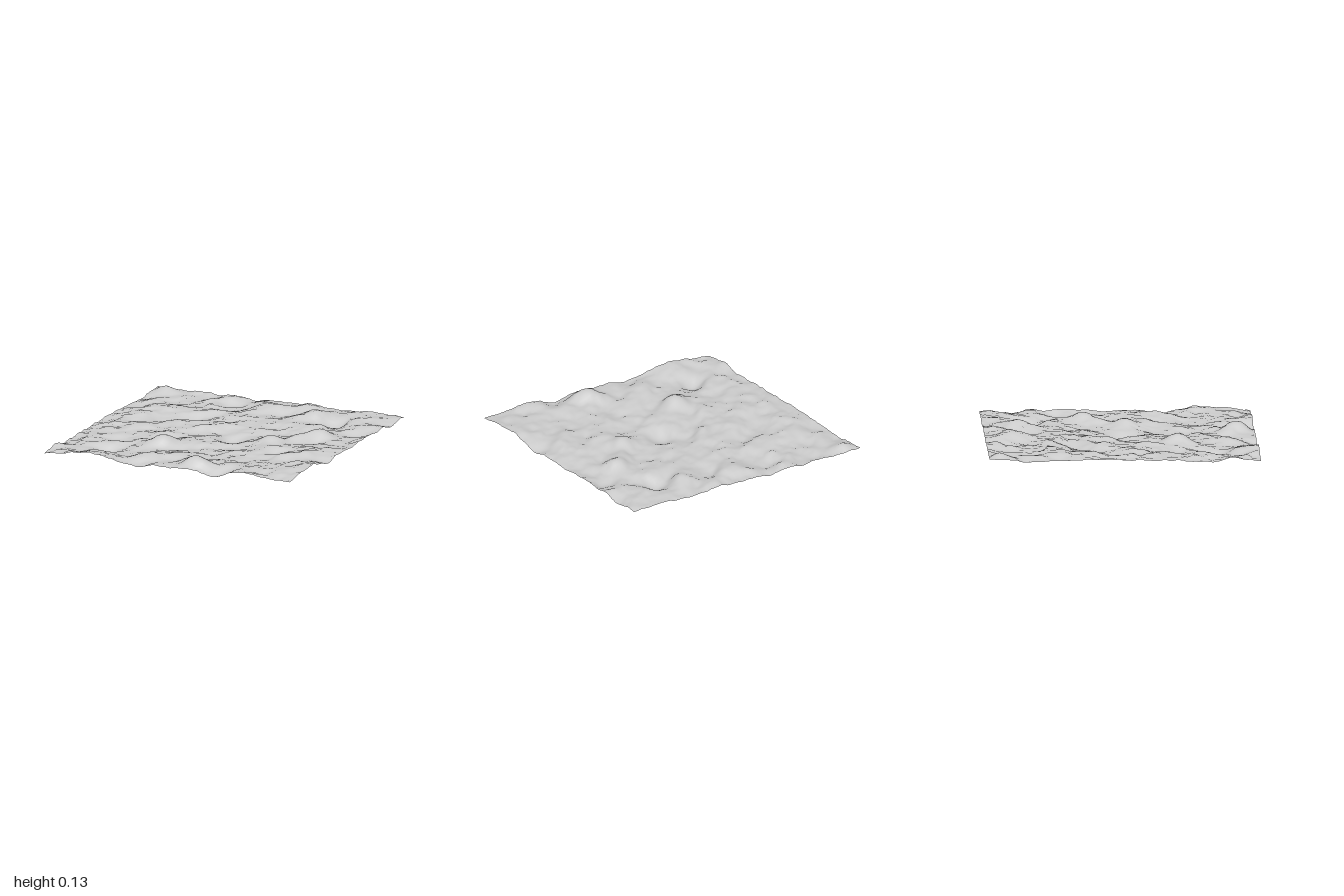
import * as THREE from 'three';

const SEGMENTS = 80;

// Broad hills and hollows: x, z, height, radius
const landmarks = [
  [0.17, 0.87, 0.075, 0.09], [-0.3, 0.4, 0.055, 0.09], [-0.63, 1, 0.03, 0.1],
  [0.65, 1, 0.025, 0.1], [0.4, 1, -0.025, 0.09], [-0.3, 1, -0.02, 0.12],
  [1, 0.6, 0.022, 0.1], [1, 0.37, -0.028, 0.1], [1, -0.6, 0.018, 0.12],
  [-0.63, 0.67, -0.06, 0.09], [0.6, -0.65, -0.06, 0.09], [0.08, 0.02, -0.055, 0.09],
  [0.4, 0.05, 0.045, 0.09], [0.66, -0.25, 0.045, 0.09], [-0.9, -0.92, 0.035, 0.09],
  [0.4, -0.75, 0.04, 0.09], [-0.05, -0.85, 0.035, 0.09],
];

// Steep banks that fall towards +x +z: x, z, height
const banks = [
  [0.1, -0.76, 0.02], [-0.35, -0.87, 0.018], [0.3, -0.87, 0.012], [0.4, -0.62, 0.014],
  [-0.75, -0.72, 0.012], [-0.4, -0.4, 0.014], [0.8, -0.45, 0.014], [-0.7, -0.2, 0.012],
  [-0.12, -0.12, 0.018], [0.6, -0.1, 0.016], [-0.25, 0.48, 0.018], [-0.68, 0.63, 0.012],
  [0.8, 0.35, 0.018], [0.4, 0.9, 0.014], [-0.35, 0.22, 0.012], [0.1, 0.25, 0.01],
  [0.55, 0.25, 0.01], [-0.95, -0.5, 0.012], [0.9, -0.8, 0.012], [-0.2, 0.85, 0.01],
];

// Seeded value from -1 to 1 at a lattice point
function latticeValue(ix, iz) {
  let h = Math.imul(ix, 374761393) + Math.imul(iz, 668265263);
  h = Math.imul(h ^ (h >>> 13), 1274126177);
  return ((h ^ (h >>> 16)) >>> 0) / 2147483648 - 1;
}

function noise(x, z) {
  const ix = Math.floor(x), iz = Math.floor(z);
  const { lerp, smoothstep } = THREE.MathUtils;
  const u = smoothstep(x - ix, 0, 1), v = smoothstep(z - iz, 0, 1);
  return lerp(
    lerp(latticeValue(ix, iz), latticeValue(ix + 1, iz), u),
    lerp(latticeValue(ix, iz + 1), latticeValue(ix + 1, iz + 1), u), v);
}

function relief(x, z) {
  // Octaves of noise
  let h = 0, frequency = 5.3, amplitude = 0.016;
  for (let octave = 0; octave < 4; octave++) {
    h += amplitude * noise(x * frequency + 117.3, z * frequency + 51.7);
    frequency *= 2;
    amplitude *= 0.58;
  }
  for (const [cx, cz, height, radius] of landmarks) {
    h += height * Math.exp(-((x - cx) ** 2 + (z - cz) ** 2) / (radius * radius));
  }
  // Each bank has a crest on one side and a trough on the other
  for (const [cx, cz, height] of banks) {
    const across = (x - cx + z - cz) / 0.12, along = (x - cx - z + cz) / 0.22;
    h -= 2.3 * height * across * Math.exp(-across * across - along * along);
  }
  // Soft limit on the height
  return 0.08 * Math.tanh(h / 0.07);
}

export function createModel() {
  const group = new THREE.Group();

  // Rolling sheet of ground
  const geometry = new THREE.PlaneGeometry(2, 2, SEGMENTS, SEGMENTS).rotateX(-Math.PI / 2);
  const position = geometry.attributes.position;
  for (let i = 0; i < position.count; i++) {
    position.setY(i, relief(position.getX(i), position.getZ(i)));
  }

  // Rest the lowest hollow on the ground
  geometry.computeBoundingBox();
  geometry.translate(0, -geometry.boundingBox.min.y, 0);
  geometry.computeVertexNormals();

  const terrain = new THREE.Mesh(
    geometry,
    new THREE.MeshStandardMaterial({ color: 0xcccccc, side: THREE.DoubleSide })
  );
  terrain.name = 'terrain';
  group.add(terrain);
  return group;
}
